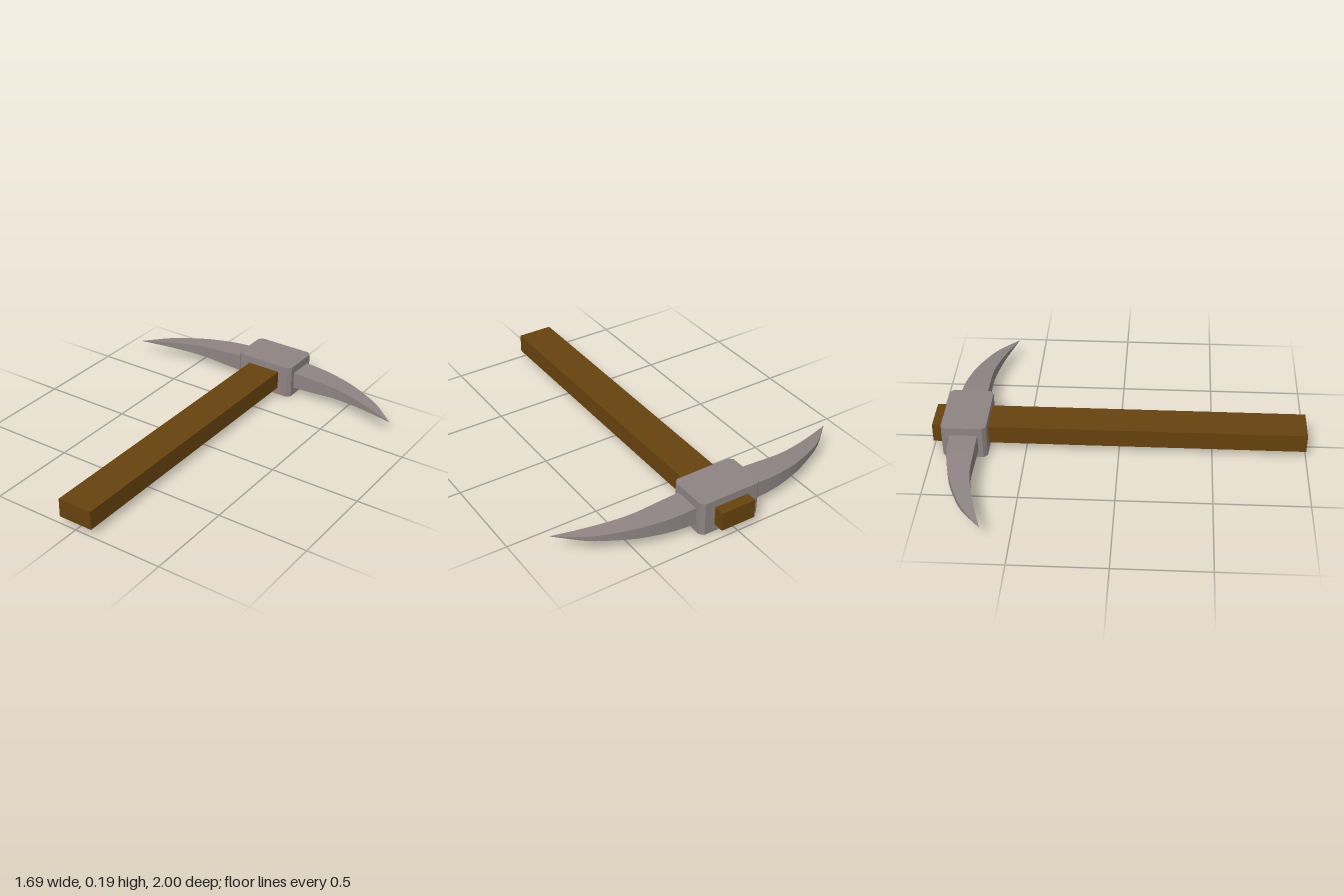
import * as THREE from 'three';
import { toCreasedNormals } from 'three/addons/utils/BufferGeometryUtils.js';

const MID_Y = 0.093;

// Curved double blade: rectangular sections swept from tip to tip
function bladeGeometry() {
  const x = [0, 0.17, 0.31, 0.42, 0.5, 0.6, 0.71, 0.845];
  const half = [0.05, 0.048, 0.041, 0.034, 0.029, 0.021, 0.012, 0];
  const back = [-0.893, -0.893, -0.887, -0.867, -0.845, -0.806, -0.75, -0.64];
  const front = [-0.746, -0.746, -0.746, -0.746, -0.738, -0.717, -0.686, -0.64];
  const curve = (z) => new THREE.CatmullRomCurve3(
    x.map((v, i) => new THREE.Vector3(v, half[i], z[i])), false, 'catmullrom', 0.5);
  const backCurve = curve(back), frontCurve = curve(front);

  const steps = 21, positions = [], index = [];
  for (let i = -steps; i <= steps; i++) {
    const t = Math.abs(i) / steps, side = Math.sign(i);
    const b = backCurve.getPoint(t), f = frontCurve.getPoint(t);
    for (const [p, s] of [[b, -1], [f, -1], [f, 1], [b, 1]]) {
      positions.push(side * p.x, MID_Y + s * p.y, p.z);
    }
  }
  for (let i = 0; i < steps * 2; i++) {
    for (let j = 0; j < 4; j++) {
      const a = i * 4 + j, b = i * 4 + (j + 1) % 4;
      index.push(a, a + 4, b, b, a + 4, b + 4);
    }
  }
  const geo = new THREE.BufferGeometry();
  geo.setAttribute('position', new THREE.Float32BufferAttribute(positions, 3));
  geo.setIndex(index);
  return toCreasedNormals(geo, Math.PI / 6);
}

// Head block with chamfered vertical corners
function blockGeometry(hx, hz, c, height) {
  const outline = new THREE.Shape([
    [hx, -hz + c], [hx, hz - c], [hx - c, hz], [-hx + c, hz],
    [-hx, hz - c], [-hx, -hz + c], [-hx + c, -hz], [hx - c, -hz],
  ].map(([x, y]) => new THREE.Vector2(x, y)));
  const geo = new THREE.ExtrudeGeometry(outline, { depth: height, bevelEnabled: false });
  return geo.rotateX(-Math.PI / 2);
}

export function createModel() {
  const group = new THREE.Group();
  const wood = new THREE.MeshStandardMaterial({ color: 0x67420f });
  const metal = new THREE.MeshStandardMaterial({ color: 0x8f8383 });
  const add = (name, geometry, material, y, z) => {
    const mesh = new THREE.Mesh(geometry, material);
    mesh.name = name;
    mesh.position.set(0, y, z);
    group.add(mesh);
  };

  add('handle', new THREE.BoxGeometry(0.196, 0.104, 2), wood, MID_Y, 0);
  add('headBlock', blockGeometry(0.176, 0.12, 0.02, 0.186), metal, 0, -0.82);
  add('blades', bladeGeometry(), metal, 0, 0);
  return group;
}
